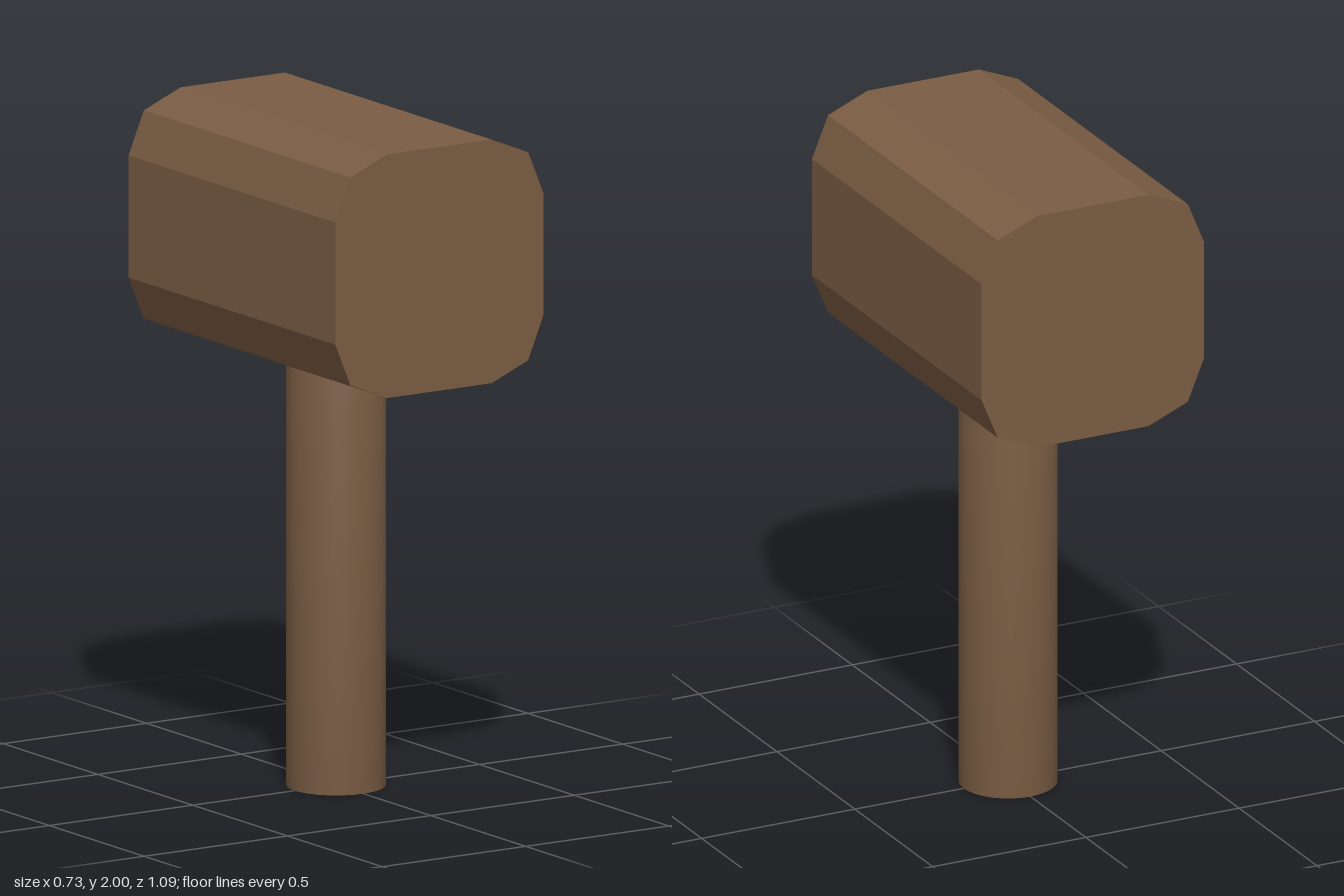
import * as THREE from 'three';
import { mergeVertices } from 'three/addons/utils/BufferGeometryUtils.js';

const HEAD_HALF = 0.363;
const HEAD_LENGTH = 1.09;
const HEAD_Y = 2 - HEAD_HALF;
const HANDLE_HEIGHT = HEAD_Y - HEAD_HALF;
const HANDLE_RADIUS = 0.145;

// Square profile with each corner cut by two bevels
function headProfile() {
  const corner = [[HEAD_HALF, 0.182], [0.31, 0.31], [0.182, HEAD_HALF]];
  const points = [];
  for (let i = 0; i < 4; i++) {
    for (const [x, y] of corner) {
      points.push(new THREE.Vector2(x, y).rotateAround(new THREE.Vector2(), i * Math.PI / 2));
    }
  }
  return new THREE.Shape(points);
}

export function createModel() {
  const model = new THREE.Group();
  model.name = 'mallet';
  const wood = { color: 0x7a5c43 };

  // Faceted block, its striking faces at the front and back
  const headGeometry = new THREE.ExtrudeGeometry(headProfile(), { depth: HEAD_LENGTH, bevelEnabled: false });
  headGeometry.translate(0, HEAD_Y, -HEAD_LENGTH / 2);
  const head = new THREE.Mesh(headGeometry, new THREE.MeshStandardMaterial({ ...wood, flatShading: true }));
  head.name = 'head';

  // Round handle, shaded smoothly across its end rims
  let handleGeometry = new THREE.CylinderGeometry(HANDLE_RADIUS, HANDLE_RADIUS, HANDLE_HEIGHT, 32);
  handleGeometry.deleteAttribute('uv');
  handleGeometry.deleteAttribute('normal');
  handleGeometry = mergeVertices(handleGeometry);
  handleGeometry.computeVertexNormals();
  handleGeometry.translate(0, HANDLE_HEIGHT / 2, 0);
  const handle = new THREE.Mesh(handleGeometry, new THREE.MeshStandardMaterial(wood));
  handle.name = 'handle';

  model.add(head, handle);
  return model;
}
